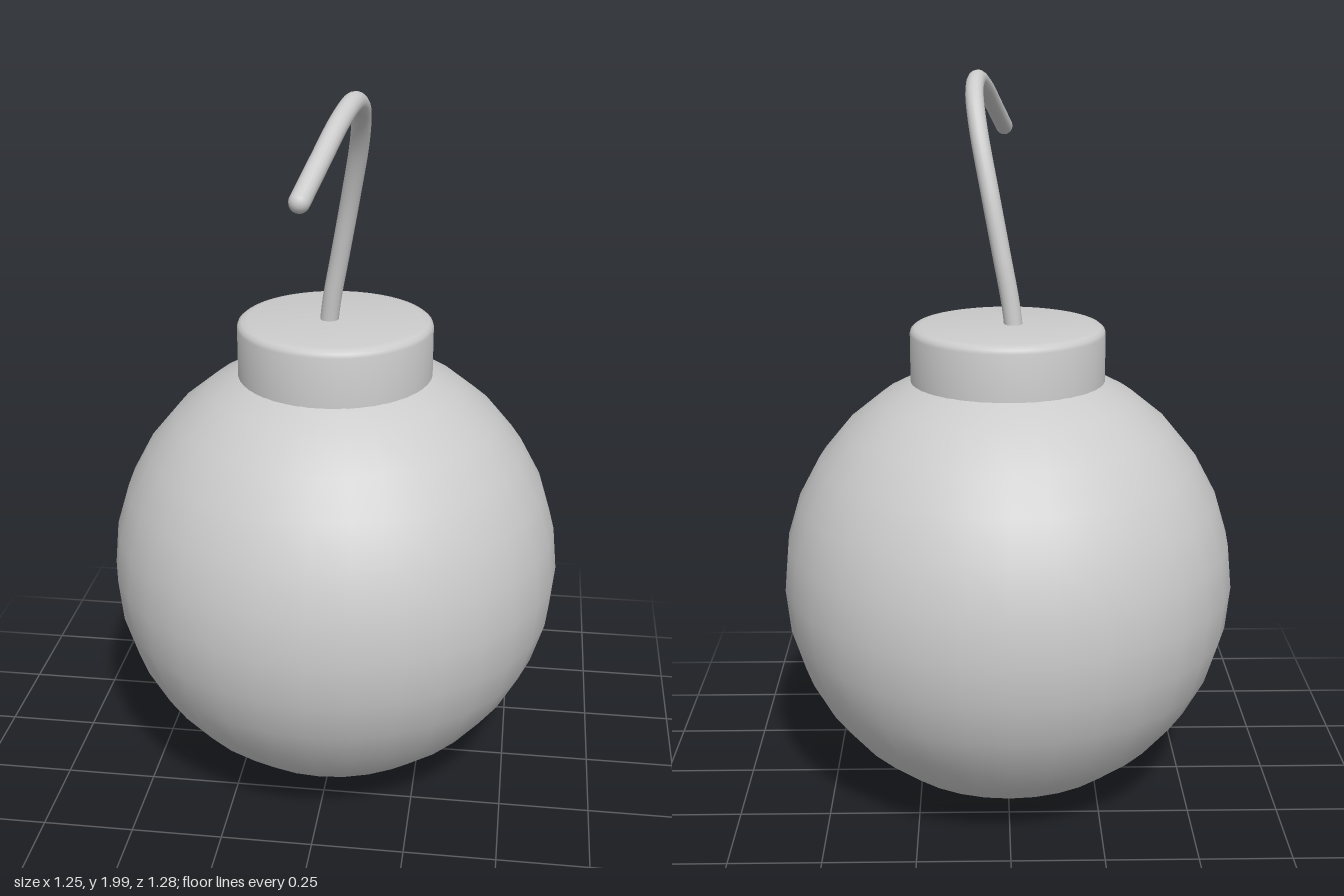
import * as THREE from 'three';
import { toCreasedNormals } from 'three/addons/utils/BufferGeometryUtils.js';

export function createModel() {
  const group = new THREE.Group();
  const material = new THREE.MeshStandardMaterial({ color: 0xcccccc });
  const add = (name, geometry, x = 0, y = 0, z = 0) => {
    const mesh = new THREE.Mesh(geometry, material);
    mesh.name = name;
    mesh.position.set(x, y, z);
    group.add(mesh);
    return mesh;
  };

  // Round body
  add('body', new THREE.SphereGeometry(0.625, 32, 16), 0, 0.63, -0.013);

  // Collar: short cylinder with a softened top rim
  const profile = [
    [0, 1.17], [0.265, 1.17], [0.265, 1.325], [0.262, 1.335], [0.253, 1.342], [0.235, 1.346], [0, 1.346],
  ].map(([r, y]) => new THREE.Vector2(r, y));
  add('collar', toCreasedNormals(new THREE.LatheGeometry(profile, 48), 0.7), 0, 0, -0.004);

  // Fuse: rises, leans to the left and droops towards the front
  const path = new THREE.CatmullRomCurve3([
    [-0.02, 1.3, 0.0], [-0.008, 1.4, 0.007], [0.016, 1.53, 0.019], [0.048, 1.7, 0.05],
    [0.076, 1.85, 0.108], [0.087, 1.943, 0.184], [0.08, 1.975, 0.27], [0.06, 1.95, 0.375],
    [0.031, 1.886, 0.5], [0.0, 1.817, 0.612],
  ].map((p) => new THREE.Vector3(...p)));
  const radius = 0.025;
  add('fuse', new THREE.TubeGeometry(path, 48, radius, 16));

  // Rounded end of the fuse
  const end = path.getPoint(1);
  add('fuseTip', new THREE.SphereGeometry(radius, 16, 10), end.x, end.y, end.z);

  return group;
}
